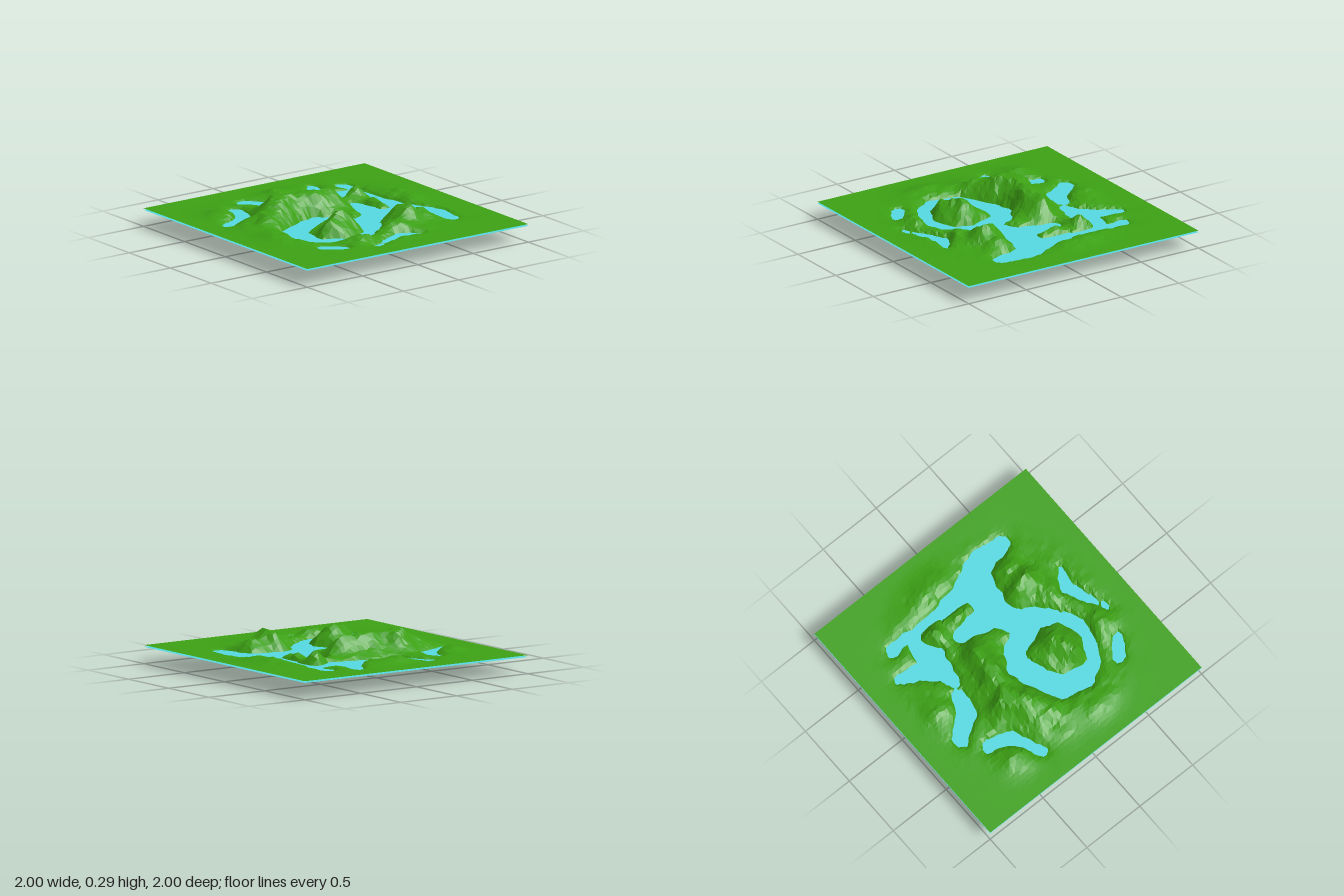
import * as THREE from 'three';

const GROUND = 0.137, WATER = 0.124;

// Lakes as strokes: each point is x, z and half width
const northLake = [
  [[-0.65, -0.54, 0.04], [-0.25, -0.54, 0.04], [0.05, -0.56, 0.09], [0.28, -0.65, 0.1], [0.5, -0.67, 0.06]],
  [[0.15, -0.55, 0.13], [0.12, -0.3, 0.12], [0.2, -0.1, 0.08]],
  [[-0.17, -0.32, 0.07], [0.12, -0.3, 0.12]],
  [[-0.5, -0.55, 0.04], [-0.46, -0.3, 0.1], [-0.46, -0.08, 0.05]],
  [[-0.76, -0.34, 0.02], [-0.5, -0.25, 0.1]],
];
const roundLake = [[0.29, -0.08, 0.1], [0.05, 0.01, 0.08], [-0.02, 0.14, 0.09], [0.05, 0.34, 0.08],
  [0.14, 0.48, 0.09], [0.3, 0.5, 0.09], [0.42, 0.48, 0.05], [0.51, 0.32, 0.05], [0.53, 0.17, 0.06],
  [0.45, 0.03, 0.05], [0.29, -0.08, 0.1]];
const ponds = [
  [[-0.5, 0.05, 0.06], [-0.53, 0.18, 0.07], [-0.7, 0.3, 0.06]],
  [[-0.57, 0.48, 0.05], [-0.42, 0.52, 0.05], [-0.3, 0.76, 0.04]],
  [[0.7, -0.25, 0.03], [0.64, -0.1, 0.05], [0.78, 0.21, 0.02]],
  [[0.68, 0.42, 0.04], [0.6, 0.55, 0.05]],
];
const strokes = [...northLake, roundLake, ...ponds];

// Hills: x, z, radius, height
const hills = [
  [-0.2, -0.14, 0.09, 0.07], [-0.2, 0.04, 0.12, 0.13], [-0.24, 0.2, 0.12, 0.09], [-0.31, 0.33, 0.11, 0.1],
  [-0.17, 0.42, 0.12, 0.1], [-0.1, 0.56, 0.12, 0.05], [0.44, -0.32, 0.09, 0.1], [0.32, -0.3, 0.07, 0.08],
  [0.4, -0.48, 0.09, 0.06], [0.55, -0.15, 0.09, 0.05], [0.29, 0.16, 0.12, 0.1], [0.38, 0.33, 0.09, 0.09],
  [-0.37, -0.43, 0.08, 0.07], [-0.12, -0.42, 0.08, 0.06], [-0.68, 0.02, 0.1, 0.04], [-0.15, -0.71, 0.17, 0.03],
  [0.64, 0.26, 0.09, 0.05], [0.25, 0.72, 0.16, 0.03], [-0.5, 0.68, 0.14, 0.03],
];

// Distance to the edge of a stroke, negative inside
function strokeDistance(stroke, x, z) {
  let best = Infinity;
  for (let i = 1; i < stroke.length; i++) {
    const [ax, az, ar] = stroke[i - 1], [bx, bz, br] = stroke[i];
    const dx = bx - ax, dz = bz - az;
    const t = THREE.MathUtils.clamp(((x - ax) * dx + (z - az) * dz) / (dx * dx + dz * dz), 0, 1);
    best = Math.min(best, Math.hypot(x - ax - dx * t, z - az - dz * t) - THREE.MathUtils.lerp(ar, br, t));
  }
  return best;
}

// Smooth value noise from 0 to 1
function hash(i, j) {
  const s = Math.sin(i * 127.1 + j * 311.7) * 43758.5453;
  return s - Math.floor(s);
}
function noise(x, z) {
  const i = Math.floor(x), j = Math.floor(z), ease = (t) => t * t * (3 - 2 * t);
  const u = ease(x - i), v = ease(z - j), mix = THREE.MathUtils.lerp;
  return mix(mix(hash(i, j), hash(i + 1, j), u), mix(hash(i, j + 1), hash(i + 1, j + 1), u), v);
}

const bump = (x, z, cx, cz, r) => Math.exp(-((x - cx) ** 2 + (z - cz) ** 2) / (r * r));

function terrainHeight(x, z) {
  const rough = 0.6 * noise(x * 9 + 40, z * 9 + 40) + 0.4 * noise(x * 21 + 90, z * 21 + 90);
  // Ragged shoreline
  const d = Math.min(...strokes.map((s) => strokeDistance(s, x, z))) + (noise(x * 16 + 70, z * 16 + 70) - 0.5) * 0.03;
  if (d < 0) {
    // Lake bed, deepest on the west side of the round lake
    const pit = bump(x, z, 0, 0.27, 0.12);
    const deep = 0.085 + 0.075 * pit;
    return Math.max(0, WATER - deep * Math.tanh(-d * (1.1 + 1.2 * pit) / deep) * (0.6 + 0.75 * rough));
  }
  const inland = 1 - THREE.MathUtils.smoothstep(Math.hypot(x, z), 0.6, 1);
  let h = inland * 0.035 * rough;
  for (const [cx, cz, r, height] of hills) h += height * bump(x, z, cx, cz, r) * (0.65 + 0.6 * rough);
  h *= 1 - THREE.MathUtils.smoothstep(Math.max(Math.abs(x), Math.abs(z)), 0.7, 0.97);
  const rise = Math.min(1, 1.15 * d / (d + 0.025));
  return Math.min(0.29, THREE.MathUtils.lerp(WATER, GROUND + h * 1.12, rise));
}

export function createModel() {
  const group = new THREE.Group();

  // Faceted land sheet, its inner vertices nudged off the grid
  const n = 60;
  const land = new THREE.PlaneGeometry(2, 2, n, n).rotateX(-Math.PI / 2);
  const pos = land.attributes.position;
  for (let k = 0; k < pos.count; k++) {
    let x = pos.getX(k), z = pos.getZ(k);
    if (Math.max(Math.abs(x), Math.abs(z)) < 0.95) {
      x += (hash(k, 3) - 0.5) * 0.016;
      z += (hash(k, 8) - 0.5) * 0.016;
    }
    pos.setXYZ(k, x, terrainHeight(x, z), z);
  }
  land.computeVertexNormals();
  const terrain = new THREE.Mesh(land, new THREE.MeshStandardMaterial({
    color: 0x3ca014, flatShading: true, side: THREE.DoubleSide }));
  terrain.name = 'terrain';

  // Water sheet just under the plain
  const water = new THREE.Mesh(new THREE.PlaneGeometry(2, 2).rotateX(-Math.PI / 2),
    new THREE.MeshStandardMaterial({ color: 0x55d8e0, side: THREE.DoubleSide }));
  water.name = 'water';
  water.position.y = WATER;

  group.add(terrain, water);
  return group;
}
